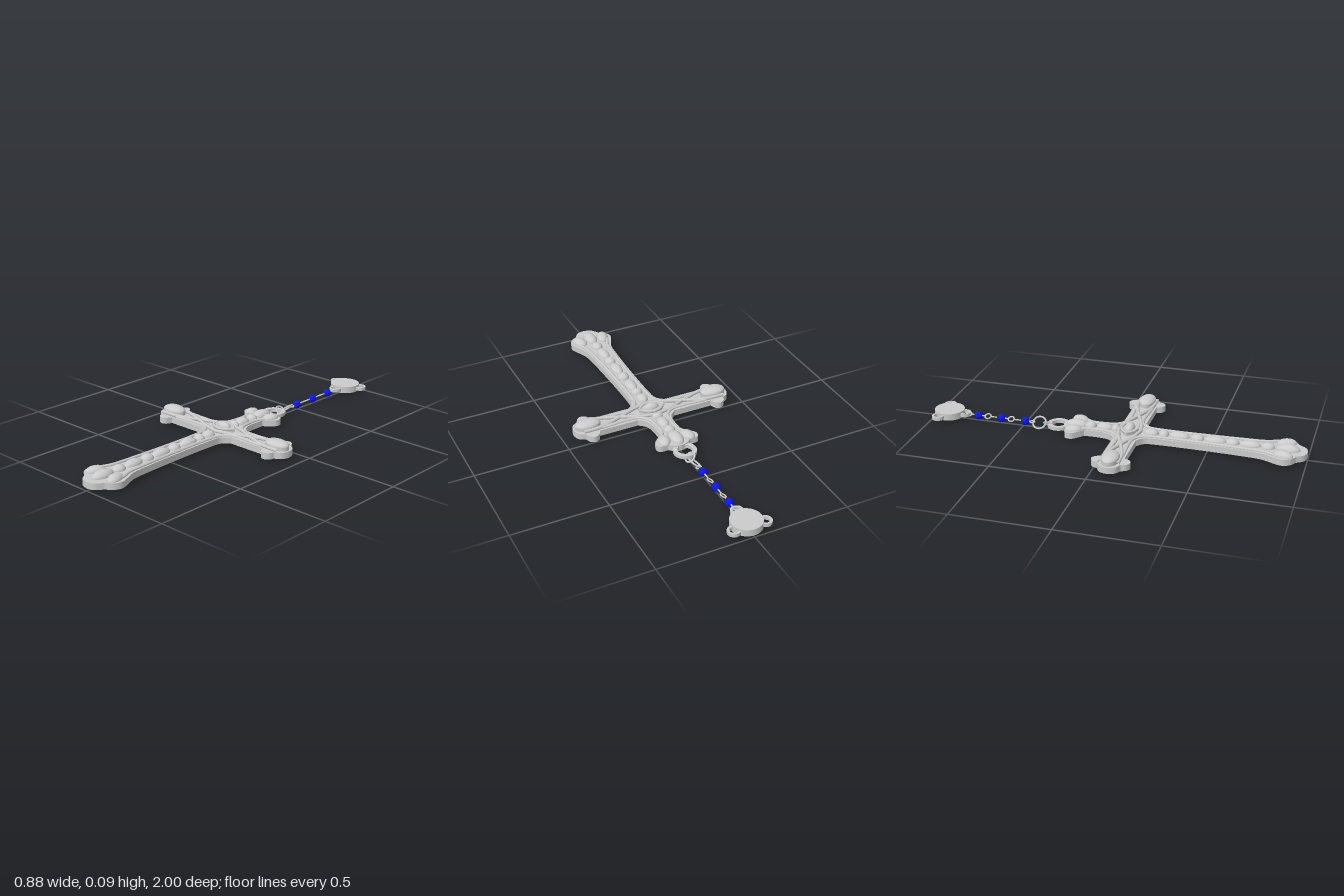
import * as THREE from 'three';

const grey = new THREE.MeshStandardMaterial({ color: 0xcccccc, side: THREE.DoubleSide });
const blue = new THREE.MeshStandardMaterial({ color: 0x1018d8 });
const ARM_Z = 0.085; // centre line of the cross arms
const CHAIN_Y = 0.03;

export function createModel() {
  const model = new THREE.Group();

  const add = (name, geometry, material = grey) => {
    const mesh = new THREE.Mesh(geometry, material);
    mesh.name = name;
    model.add(mesh);
    return mesh;
  };

  // Half outline [x, z]: each run is a smooth curve, runs meet at sharp cusps
  const runs = [
    [[0, 1], [0.04, 0.988], [0.07, 0.95]],
    [[0.07, 0.95], [0.105, 0.925], [0.12, 0.885], [0.105, 0.84], [0.08, 0.78], [0.07, 0.68], [0.062, 0.25], [0.07, 0.18], [0.105, 0.145]],
    [[0.105, 0.145], [0.32, 0.145]],
    [[0.32, 0.145], [0.335, 0.175], [0.36, 0.185], [0.385, 0.17], [0.395, 0.145]],
    [[0.395, 0.145], [0.427, 0.125], [0.44, ARM_Z], [0.427, 0.045], [0.395, 0.025]],
    [[0.395, 0.025], [0.385, 0], [0.36, -0.015], [0.335, -0.005], [0.32, 0.025]],
    [[0.32, 0.025], [0.105, 0.025]],
    [[0.105, 0.025], [0.07, -0.01], [0.06, -0.06], [0.06, -0.145]],
    [[0.06, -0.145], [0.085, -0.165], [0.115, -0.2], [0.108, -0.235], [0.06, -0.24]],
    [[0.06, -0.24], [0.035, -0.262], [0, -0.27]],
  ];
  const half = runs.flatMap((run) => {
    const curve = new THREE.CatmullRomCurve3(run.map(([x, z]) => new THREE.Vector3(x, 0, z)));
    return curve.getPoints((run.length - 1) * 5).slice(0, -1);
  });
  const outline = [...half, new THREE.Vector3(0, 0, -0.27),
    ...half.slice(1).reverse().map((p) => new THREE.Vector3(-p.x, 0, p.z))];
  const extrude = (shape, y, depth) => new THREE.ExtrudeGeometry(shape, { depth, bevelEnabled: false, curveSegments: 32 })
    .rotateX(-Math.PI / 2).translate(0, y, 0);
  add('crossPlate', extrude(new THREE.Shape(outline.map((p) => new THREE.Vector2(p.x, -p.z))), 0.015, 0.033));

  // Raised mouldings, drawn on one side and mirrored
  const rail = (name, points, radius, y = 0.05) => {
    for (const s of [1, -1]) {
      const path = new THREE.CatmullRomCurve3(points.map(([x, z]) => new THREE.Vector3(s * x, y, z)));
      add(name, new THREE.TubeGeometry(path, 48, radius, 8));
    }
  };
  rail('lowerRail', [[0.09, 0.86], [0.062, 0.79], [0.053, 0.68], [0.045, 0.25], [0.056, 0.17], [0.1, 0.128], [0.3, 0.128]], 0.009);
  rail('upperRail', [[0.06, -0.16], [0.044, -0.13], [0.044, -0.04], [0.056, 0.005], [0.1, 0.042], [0.3, 0.042]], 0.009);
  for (const m of [1, -1]) {
    rail('crossedBand', [[0.4, ARM_Z + m * 0.045], [0.3, ARM_Z + m * 0.04], [0.18, ARM_Z], [0.08, ARM_Z - m * 0.04], [0, ARM_Z - m * 0.058]], 0.01, 0.054);
    rail('centreFrame', [[0, ARM_Z + m * 0.043], [0.035, ARM_Z + m * 0.033], [0.07, ARM_Z]], 0.007, 0.066);
  }

  // Domes: upper half of an ellipsoid resting on the plate
  const dome = (name, x, z, rx, rz, top, turn = 0, base = 0.047) => {
    const g = new THREE.SphereGeometry(1, 28, 10, 0, Math.PI * 2, 0, Math.PI / 2);
    g.scale(rx, top - base, rz).rotateY(turn).translate(x, base, z);
    add(name, g);
  };
  // [z, half length] down the upright
  const beads = [[-0.125, 0.03], [-0.05, 0.045], [0.01, 0.022], [0.2, 0.038], [0.265, 0.027], [0.345, 0.055],
    [0.44, 0.035], [0.53, 0.057], [0.62, 0.035], [0.71, 0.055], [0.8, 0.036]];
  for (const [z, rz] of beads) dome('uprightBead', 0, z, 0.031, rz, 0.073);
  dome('footPetal', 0, 0.9, 0.036, 0.062, 0.078);
  dome('headPetal', 0, -0.2, 0.036, 0.06, 0.076);
  for (const s of [1, -1]) {
    dome('footSidePetal', s * 0.07, 0.885, 0.033, 0.052, 0.073, s * 0.3);
    dome('headSidePetal', s * 0.065, -0.2, 0.032, 0.045, 0.07, -s * 0.3);
    // Arm end: oval pedestal under a wide dome
    const pedestal = new THREE.CylinderGeometry(1, 1, 0.02, 40).scale(0.069, 1, 0.044);
    add('armEndPedestal', pedestal.translate(s * 0.361, 0.056, ARM_Z));
    dome('armEndDome', s * 0.361, ARM_Z, 0.069, 0.044, 0.09, 0, 0.066);
  }

  // Centre boss: pointed oval with a dome
  const lens = new THREE.Shape();
  lens.moveTo(-0.072, -ARM_Z);
  lens.quadraticCurveTo(0, -ARM_Z - 0.09, 0.072, -ARM_Z);
  lens.quadraticCurveTo(0, -ARM_Z + 0.09, -0.072, -ARM_Z);
  add('centreBoss', extrude(lens, 0.047, 0.018));
  dome('centreDome', 0, ARM_Z, 0.042, 0.026, 0.09, 0, 0.062);

  // Flat hanging loop at the head of the cross
  const ringShape = (r, hole, x, z) => {
    const shape = new THREE.Shape().absarc(x, -z, r, 0, Math.PI * 2);
    shape.holes.push(new THREE.Path().absarc(x, -z, hole, 0, Math.PI * 2, true));
    return shape;
  };
  add('hangingLoop', extrude(ringShape(0.06, 0.038, 0, -0.302), 0.024, 0.018));

  // Chain: [z, radius, tilt about the chain]
  const links = [[-0.358, 0.027, -0.7], [-0.41, 0.035, 0.7], [-0.45, 0.013, 0], [-0.568, 0.016, 0.5],
    [-0.7, 0.016, 0.5], [-0.808, 0.014, 0.5]];
  for (const [z, r, tilt] of links) {
    const torus = new THREE.TorusGeometry(r, r > 0.02 ? 0.005 : 0.004, 8, 28);
    add('chainLink', torus.rotateX(Math.PI / 2).rotateZ(tilt).translate(0, CHAIN_Y, z));
  }
  const wires = [[-0.46, -0.552], [-0.584, -0.685], [-0.715, -0.797]];
  for (const [a, b] of wires) {
    const wire = new THREE.CylinderGeometry(0.004, 0.004, a - b, 8);
    add('chainWire', wire.rotateX(Math.PI / 2).translate(0, CHAIN_Y, (a + b) / 2));
  }
  for (const z of [-0.49, -0.625, -0.755]) {
    add('chainBead', new THREE.SphereGeometry(0.023, 24, 16).translate(0, CHAIN_Y, z), blue);
  }

  // Medal with three flat eyelets
  add('medal', new THREE.CylinderGeometry(0.08, 0.08, 0.036, 48).translate(0, 0.031, -0.92));
  for (const [x, z] of [[-0.083, -0.952], [0.083, -0.952], [0, -0.832]]) {
    add('medalEyelet', extrude(ringShape(0.033, 0.021, x, z), 0.022, 0.018));
  }
  return model;
}
